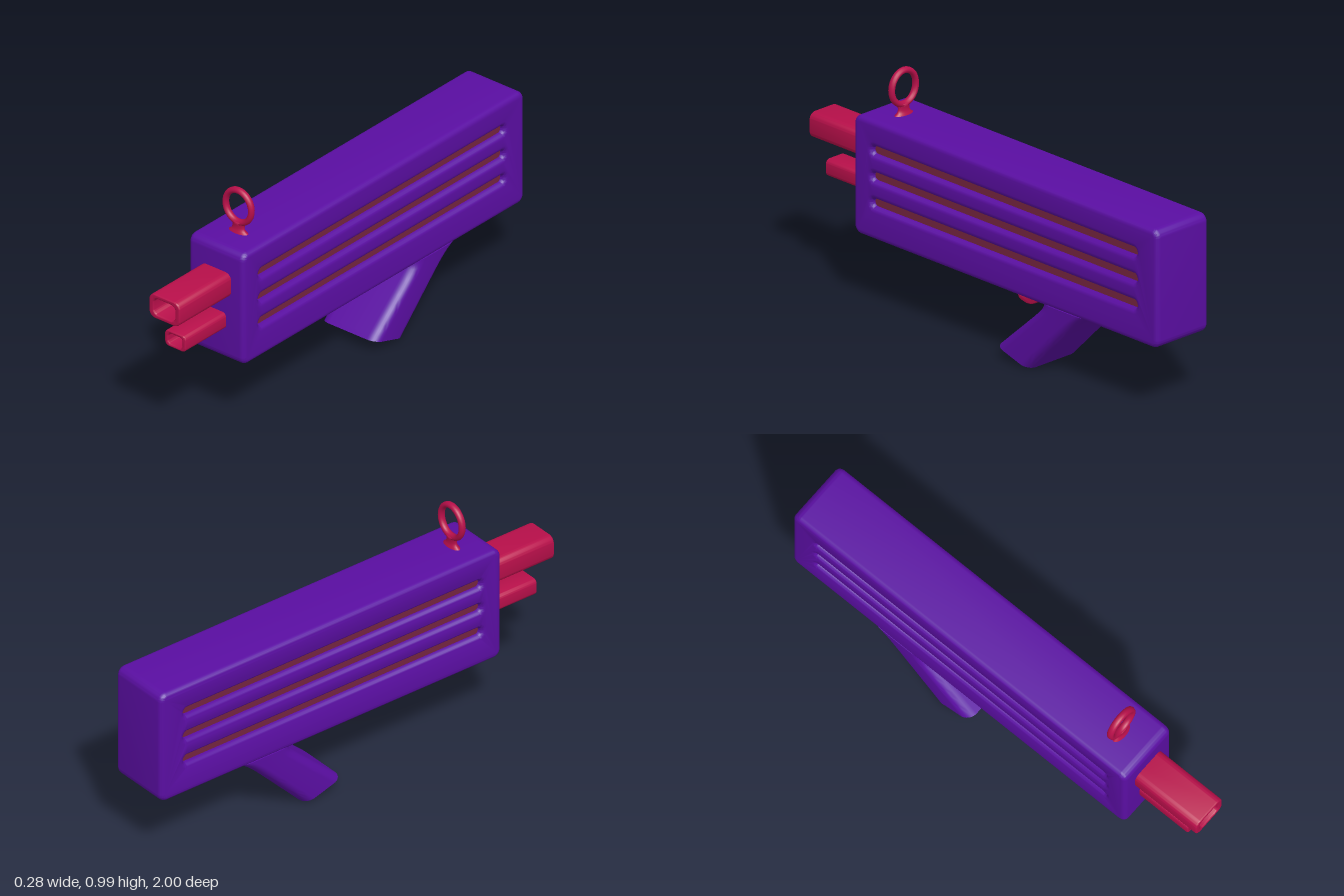
import * as THREE from 'three';
import { toCreasedNormals } from 'three/addons/utils/BufferGeometryUtils.js';

const paint = (name, color) => {
  const m = new THREE.MeshStandardMaterial({ color });
  m.name = name;
  return m;
};

// Rounded rectangle outline centred on (cx, cy)
function roundRect(w, h, r, cx = 0, cy = 0, Type = THREE.Shape) {
  const s = new Type(), x = w / 2, y = h / 2, q = Math.PI / 2;
  s.absarc(cx + x - r, cy + y - r, r, 0, q);
  s.absarc(cx - x + r, cy + y - r, r, q, 2 * q);
  s.absarc(cx - x + r, cy - y + r, r, 2 * q, 3 * q);
  s.absarc(cx + x - r, cy - y + r, r, 3 * q, 4 * q);
  s.closePath();
  return s;
}

// Extrude a (z, y) side profile across the width, with rounded edges
function sideExtrude(shape, width, bevel, segments) {
  const depth = width - 2 * bevel;
  const g = new THREE.ExtrudeGeometry(shape, {
    depth, curveSegments: 5, bevelEnabled: true, bevelSize: bevel,
    bevelThickness: bevel, bevelOffset: -bevel, bevelSegments: segments,
  });
  g.translate(0, 0, -depth / 2);
  g.rotateY(-Math.PI / 2);
  return toCreasedNormals(g, 0.5);
}

export function createModel() {
  const purple = paint('purple', 0x5a0ea2);
  const crimson = paint('crimson', 0xb80f4a);
  const rust = paint('grooveRust', 0x74243f);

  const model = new THREE.Group();
  model.name = 'toyBlaster';
  const add = (name, geometry, material, parent = model) => {
    const mesh = new THREE.Mesh(geometry, material);
    mesh.name = name;
    parent.add(mesh);
    return mesh;
  };

  // Body with three long slots
  const slots = [0.67, 0.56, 0.45];
  const profile = roundRect(1.69, 0.497, 0.035, -0.155, 0.546);
  for (const y of slots) profile.holes.push(roundRect(1.47, 0.034, 0.0165, -0.145, y, THREE.Path));
  add('body', sideExtrude(profile, 0.28, 0.022, 5), purple);

  // Coloured floors inside the slots
  for (const y of slots) {
    const floor = add('grooveFloor', new THREE.BoxGeometry(0.232, 0.05, 1.49), rust);
    floor.position.set(0, y, -0.145);
  }

  // Hollow barrels with recessed inner walls
  const barrel = (name, w, h, wall, y, front) => {
    const group = new THREE.Group();
    group.name = name;
    const r = h * 0.28, back = 0.6, b = 0.006;
    const outline = roundRect(w, h, r);
    outline.holes.push(roundRect(w - 2 * wall, h - 1.5 * wall, r * 0.7, 0, 0, THREE.Path));
    const tube = new THREE.ExtrudeGeometry(outline, {
      depth: front - back - 2 * b, curveSegments: 5, bevelEnabled: true,
      bevelSize: b, bevelThickness: b, bevelOffset: -b, bevelSegments: 3,
    });
    tube.translate(0, 0, back + b);
    add('barrelTube', toCreasedNormals(tube, 0.55), crimson, group);
    const plug = add('barrelPlug', new THREE.BoxGeometry(w - 1.6 * wall, h - 1.2 * wall, 0.04), crimson, group);
    plug.position.z = front - 0.2;
    group.position.y = y;
    model.add(group);
  };
  barrel('upperBarrel', 0.156, 0.107, 0.024, 0.637, 1.0);
  barrel('lowerBarrel', 0.106, 0.072, 0.017, 0.471, 0.935);

  // Ring sight on a flared stem
  const sight = new THREE.Group();
  sight.name = 'ringSight';
  sight.position.z = 0.553;
  model.add(sight);
  const ring = add('sightRing', new THREE.TorusGeometry(0.065, 0.012, 12, 40), crimson, sight);
  ring.position.y = 0.907;
  ring.scale.set(1, 1.08, 1.25);
  const stemProfile = [[0.05, 0.785], [0.046, 0.796], [0.034, 0.803], [0.029, 0.815], [0.03, 0.829], [0.037, 0.842], [0, 0.842]];
  const stem = add('sightStem', new THREE.LatheGeometry(stemProfile.map(p => new THREE.Vector2(...p)), 24), crimson, sight);
  stem.scale.z = 0.45;

  // Slanted grip: rounded section swept between two slanted ends, flared at the top
  const grip = new THREE.ExtrudeGeometry(roundRect(0.28, 0.19, 0.045), {
    depth: 1, steps: 16, curveSegments: 4, bevelEnabled: false,
  });
  const p = grip.attributes.position;
  const { lerp } = THREE.MathUtils;
  for (let i = 0; i < p.count; i++) {
    const s = p.getY(i) / 0.19 + 0.5, t = p.getZ(i);
    const flare = 0.035 * t ** 12 * (1 - 2 * s);
    const z = lerp(lerp(-0.1, -0.28, s), lerp(-0.375, -0.575, s), t) + flare;
    const y = lerp(lerp(0.058, 0.004, s), 0.305, t);
    p.setXYZ(i, p.getX(i), y, z);
  }
  add('grip', toCreasedNormals(grip, 0.6), purple);

  // Hooked trigger
  const hook = new THREE.Shape();
  hook.moveTo(-0.185, 0.31);
  hook.bezierCurveTo(-0.19, 0.25, -0.155, 0.232, -0.105, 0.241);
  hook.quadraticCurveTo(-0.102, 0.228, -0.118, 0.22);
  hook.bezierCurveTo(-0.175, 0.2, -0.215, 0.225, -0.232, 0.268);
  hook.quadraticCurveTo(-0.24, 0.285, -0.262, 0.31);
  hook.closePath();
  add('trigger', sideExtrude(hook, 0.047, 0.005, 3), crimson);

  return model;
}
